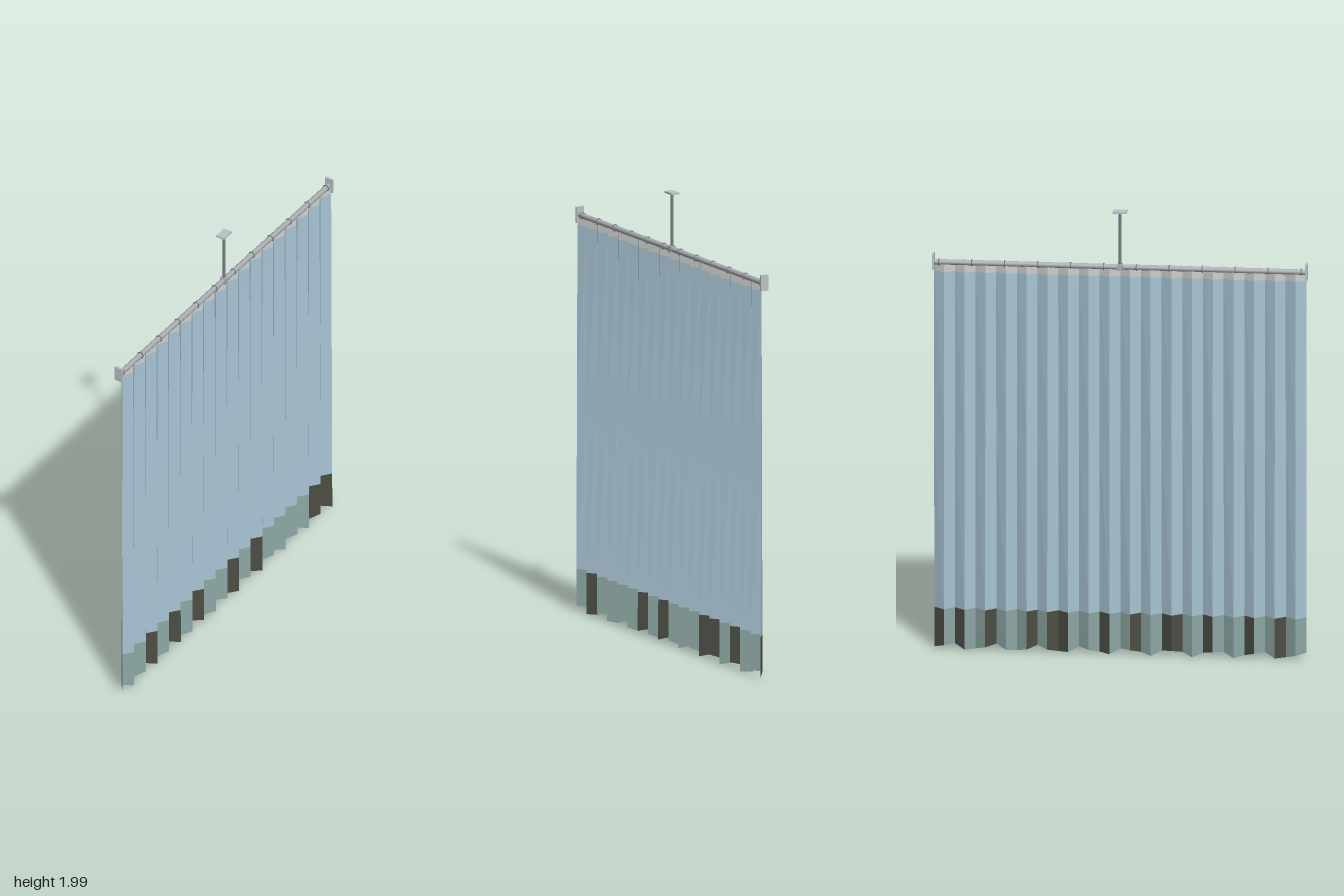
import * as THREE from 'three';

const mat = (name, color, side = THREE.FrontSide) => {
  const m = new THREE.MeshStandardMaterial({ color, side });
  m.name = name;
  return m;
};

export function createModel() {
  const group = new THREE.Group();
  group.name = 'pleatedCurtain';

  const blue = mat('blueFabric', 0xa9c4d4, THREE.DoubleSide);
  const tape = mat('headingTape', 0xcccfcc, THREE.DoubleSide);
  const hem = mat('hemGreen', 0x8ea8a5, THREE.DoubleSide);
  const stain = mat('hemDark', 0x4c4e45, THREE.DoubleSide);
  const metal = mat('metal', 0xa9aeb2);
  const plateMetal = mat('plateMetal', 0xbac2c6);
  const darkMetal = mat('darkMetal', 0x7c8287);

  const add = (name, geo, material, x, y, z) => {
    const m = new THREE.Mesh(geo, material);
    m.name = name;
    m.position.set(x, y, z);
    group.add(m);
    return m;
  };

  // Curtain: zigzag folds running along z, deepening towards the floor
  const PANELS = 36, HALF = 0.805, TOP = 1.74;
  const foldZ = j => HALF - (2 * HALF * j) / PANELS;
  const foldX = (j, y) => (j % 2 ? -1 : 1) * (0.018 - 0.006 * (y / TOP));
  const bottomY = j => 0.019 - 0.013 * Math.cos((2 * Math.PI * (j - 2.4)) / 4.28);

  const strip = (name, material, low, high, keep = () => true) => {
    const pos = [];
    for (let j = 0; j < PANELS; j++) {
      if (!keep(j)) continue;
      const p = (k, y) => [foldX(k, y), y, foldZ(k)];
      const a = p(j, low(j)), b = p(j + 1, low(j + 1));
      const c = p(j + 1, high), d = p(j, high);
      pos.push(...a, ...b, ...c, ...a, ...c, ...d);
    }
    const geo = new THREE.BufferGeometry();
    geo.setAttribute('position', new THREE.Float32BufferAttribute(pos, 3));
    geo.computeVertexNormals();
    add(name, geo, material, 0, 0, 0);
  };

  const isDark = j => j % 7 === 2 || j % 7 === 5 || j % 11 === 2;
  strip('headingBand', tape, () => 1.705, TOP);
  strip('curtainUpper', blue, () => 0.98, 1.705);
  strip('curtainLower', blue, () => 0.19, 0.98);
  strip('hemPanels', hem, bottomY, 0.19, j => !isDark(j));
  strip('darkHemPanels', stain, bottomY, 0.19, isDark);

  // Rail with an end plate on each side
  const rail = add('rail', new THREE.CylinderGeometry(0.012, 0.012, 1.61, 12), metal, 0, 1.748, 0);
  rail.rotation.x = Math.PI / 2;
  for (const s of [-1, 1]) {
    add('endPlate', new THREE.BoxGeometry(0.038, 0.07, 0.009), plateMetal, 0, 1.75, s * 0.8075);
  }

  // Rings along the rail
  const ringGeo = new THREE.TorusGeometry(0.0135, 0.0025, 6, 16);
  for (let i = 0; i < 12; i++) {
    add('ring', ringGeo, darkMetal, 0, 1.748, -0.783 + i * 0.1424);
  }

  // Ceiling support
  add('supportRod', new THREE.CylinderGeometry(0.006, 0.006, 0.245, 10), darkMetal, 0, 1.872, 0);
  add('ceilingPlate', new THREE.BoxGeometry(0.04, 0.008, 0.06), plateMetal, 0, 1.996, 0);
  add('railClamp', new THREE.BoxGeometry(0.028, 0.028, 0.022), metal, 0, 1.748, 0);

  return group;
}
